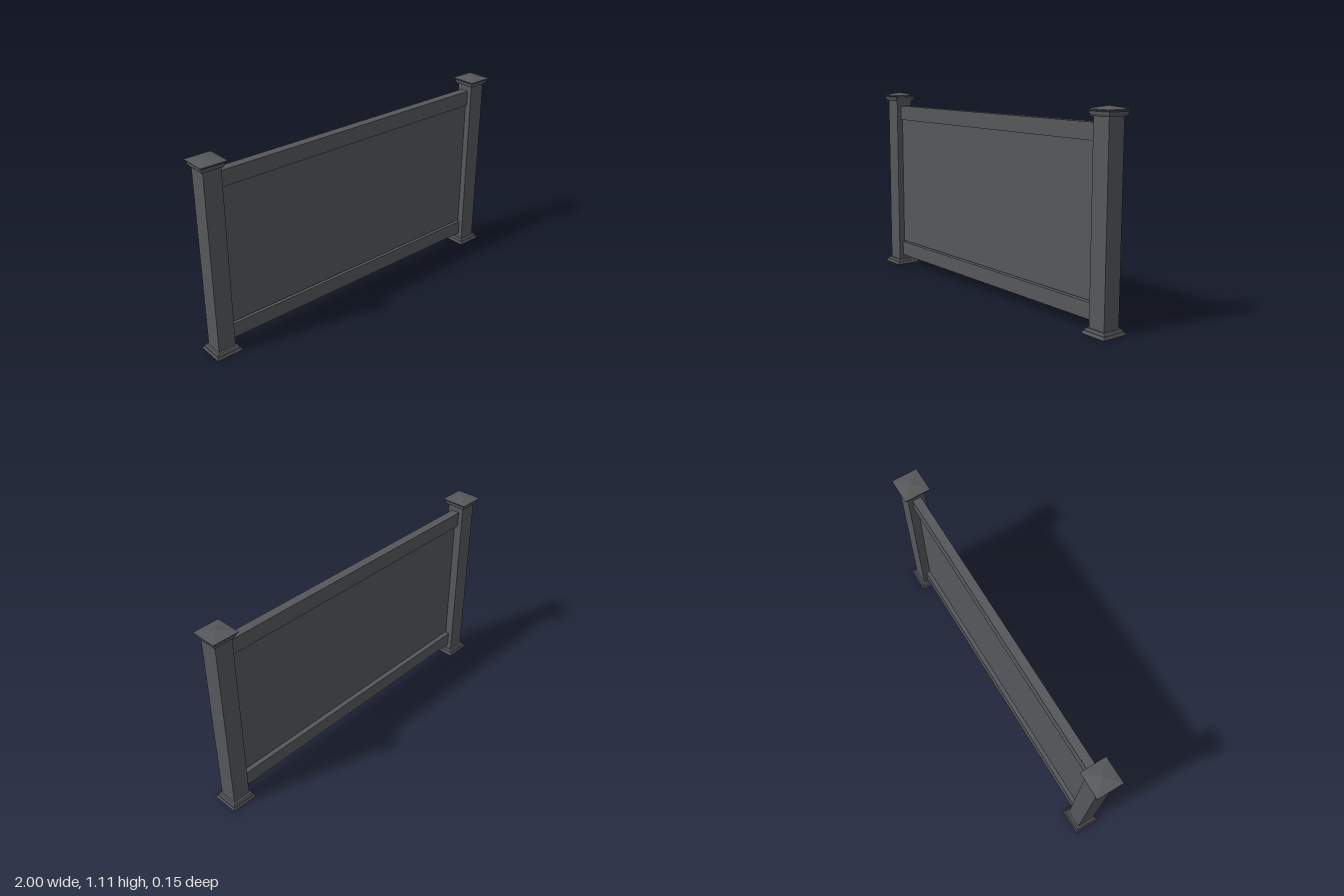
import * as THREE from 'three';

const material = new THREE.MeshStandardMaterial({ color: 0x55575a, flatShading: true });

// Square moulding from [half width, height] pairs, listed bottom to top.
function squareProfile(name, pairs) {
  const points = pairs.map(([half, y]) => new THREE.Vector2(half * Math.SQRT2, y));
  const mesh = new THREE.Mesh(new THREE.LatheGeometry(points, 4, Math.PI / 4), material);
  mesh.name = name;
  return mesh;
}

function box(name, width, y0, y1, depth, z = 0) {
  const mesh = new THREE.Mesh(new THREE.BoxGeometry(width, y1 - y0, depth), material);
  mesh.position.set(0, (y0 + y1) / 2, z);
  mesh.name = name;
  return mesh;
}

function createPost(name, x) {
  const post = new THREE.Group();
  post.name = name;
  post.position.x = x;
  post.add(box('postShaft', 0.102, 0.002, 1.07, 0.102));

  // Stepped skirt around the foot
  post.add(squareProfile('postBase', [
    [0, 0], [0.076, 0], [0.076, 0.004], [0.071, 0.017], [0.067, 0.018],
    [0.061, 0.03], [0.05, 0.031],
  ]));

  // Stepped cap with a low pyramid on top
  post.add(squareProfile('postCap', [
    [0.05, 1.06], [0.059, 1.06], [0.065, 1.073], [0.066, 1.083],
    [0.069, 1.085], [0.075, 1.091], [0.075, 1.094], [0, 1.11],
  ]));
  return post;
}

export function createModel() {
  const model = new THREE.Group();
  model.name = 'fenceSection';

  for (const side of [-1, 1]) {
    model.add(createPost(side > 0 ? 'leftPost' : 'rightPost', side * 0.924));
  }

  // Rails and the thin infill panel, set slightly towards the front
  model.add(box('topRail', 1.75, 0.94, 1.028, 0.05));
  model.add(box('bottomRail', 1.75, 0.058, 0.145, 0.05));
  model.add(box('infillPanel', 1.75, 0.151, 0.945, 0.016, 0.006));
  return model;
}
